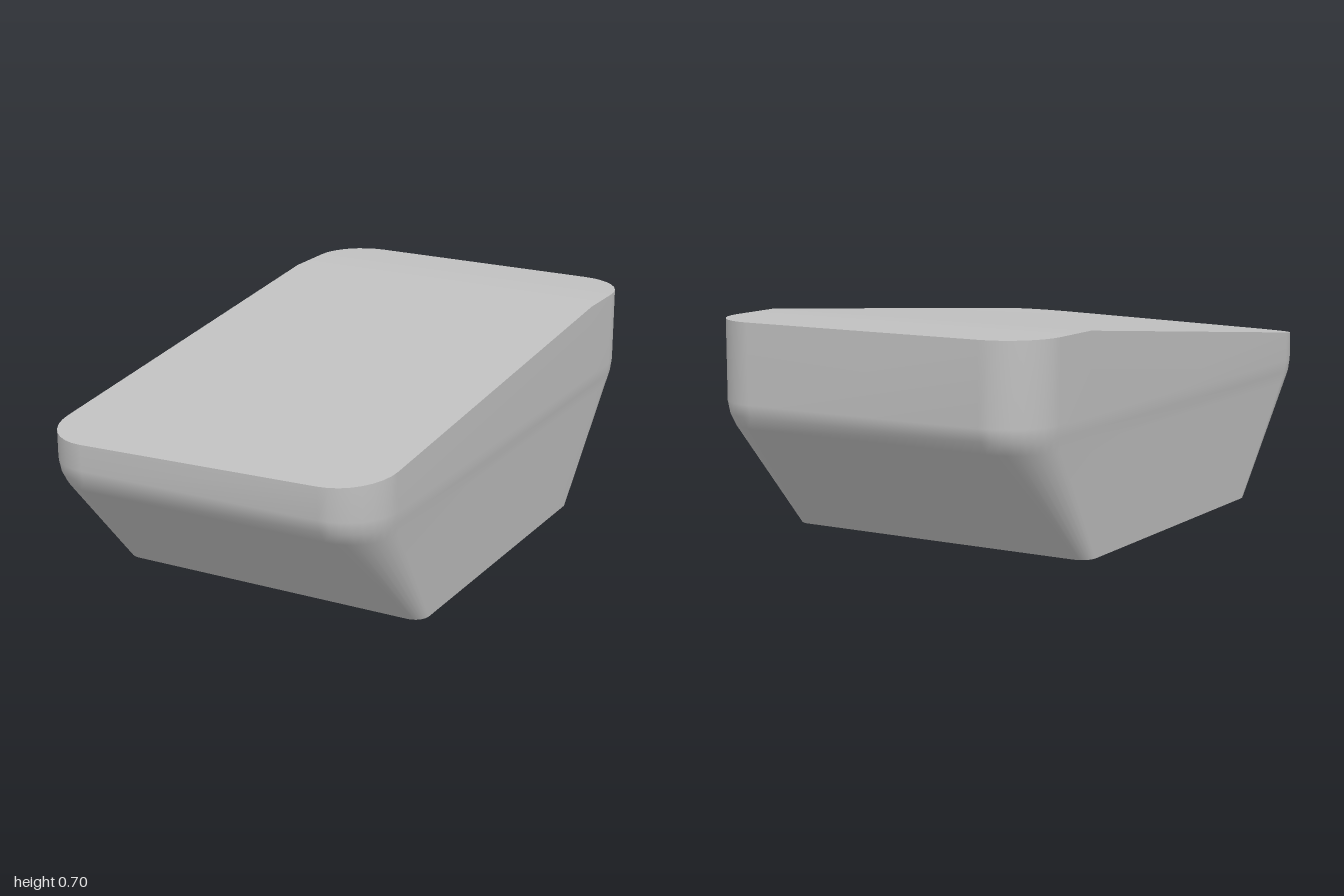
import * as THREE from 'three';

const ARC = 8; // segments per rounded corner

// Right half of a rounded rectangle, ordered from back to front
function halfOutline({ w, l, r }) {
  const corner = (front) => Array.from({ length: ARC + 1 }, (_, i) => {
    const a = (i / ARC) * Math.PI / 2;
    return front
      ? [w - r + r * Math.cos(a), l - r + r * Math.sin(a)]
      : [w - r + r * Math.sin(a), -l + r - r * Math.cos(a)];
  });
  return [...corner(false), [w, -0.62 * l / 0.97], ...corner(true)];
}

// Lid height: level at the back, sloping down to the front, a little lower on the -x side
function lidHeight(x, z) {
  const t = THREE.MathUtils.clamp((z + 0.62) / 1.59, 0, 1);
  return 0.703 - t * (0.159 - 0.022 * x);
}

function makeRing(section) {
  const half = halfOutline(section);
  const mirrored = half.map(([x, z]) => [-x, z]).reverse();
  return [...half, ...mirrored].map(([x, z]) => [x, section.y ?? lidHeight(x, z), z]);
}

function makeGeometry(points, index) {
  const g = new THREE.BufferGeometry();
  g.setAttribute('position', new THREE.Float32BufferAttribute(points.flat(), 3));
  g.setIndex(index);
  g.computeVertexNormals();
  return g;
}

// Smooth skin through the stacked rings
function loft(rings) {
  const n = rings[0].length, index = [];
  for (let k = 0; k < rings.length - 1; k++) {
    for (let i = 0; i < n; i++) {
      const a = k * n + i, b = k * n + (i + 1) % n;
      index.push(a, a + n, b, b, a + n, b + n);
    }
  }
  return makeGeometry(rings.flat(), index);
}

// Cap made of strips running across the ring
function cap(ring, up) {
  const n = ring.length, index = [];
  for (let i = 0; i < n / 2 - 1; i++) {
    const r0 = i, r1 = i + 1, l0 = n - 1 - i, l1 = n - 2 - i;
    if (up) index.push(l0, l1, r0, r0, l1, r1);
    else index.push(l0, r0, l1, r0, r1, l1);
  }
  return makeGeometry(ring, index);
}

export function createModel() {
  const grey = new THREE.MeshStandardMaterial({ color: 0xc0c0c0 });
  grey.name = 'light grey';

  // Tapered base, soft bend, upright rim
  const rings = [
    { y: 0, w: 0.545, l: 0.57, r: 0.05 },
    { y: 0.37, w: 0.57, l: 0.935, r: 0.155 },
    { y: 0.41, w: 0.577, l: 0.96, r: 0.165 },
    { y: 0.45, w: 0.58, l: 0.971, r: 0.17 },
    { w: 0.58, l: 0.971, r: 0.17 },
  ].map(makeRing);

  const model = new THREE.Group();
  model.name = 'taperedBlock';
  const add = (name, geometry) => {
    const mesh = new THREE.Mesh(geometry, grey);
    mesh.name = name;
    model.add(mesh);
  };
  add('sideWalls', loft(rings));
  add('slopedTop', cap(rings[rings.length - 1], true));
  add('flatBase', cap(rings[0], false));

  // The block stands slightly turned
  model.rotation.y = -0.075;
  const group = new THREE.Group();
  group.name = 'block';
  group.add(model);
  return group;
}
